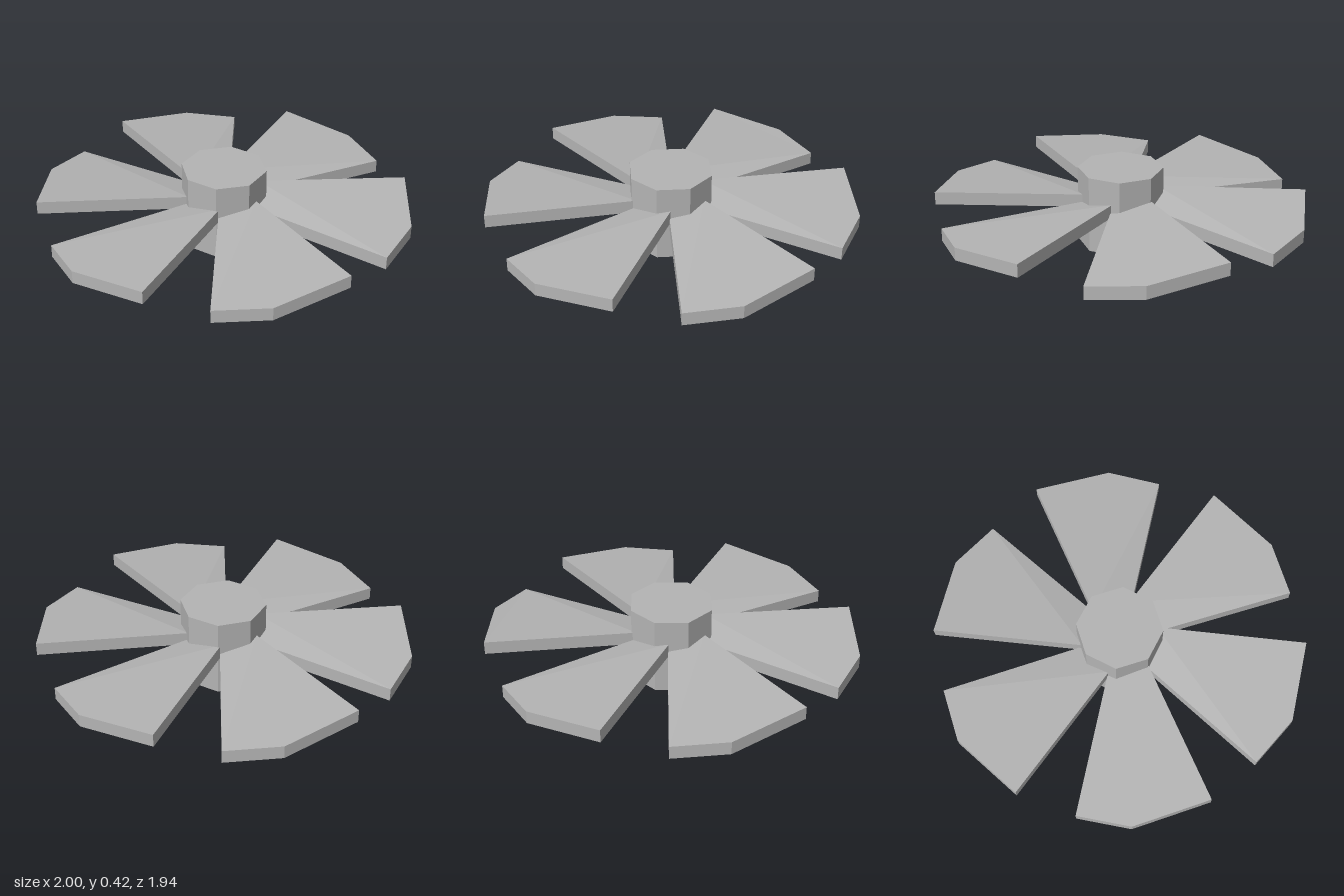
import * as THREE from 'three';

const THICKNESS = 0.07;

// Upper outline of one blade pointing along +x: high edge, pointed tip, low edge
const OUTLINE = [
  [0.17, 0.285, -0.115],
  [0.945, 0.28, -0.3],
  [1.0, 0.236, 0.12],
  [0.89, 0.212, 0.39],
  [0.17, 0.242, 0.092],
];

// Pitched slab with a slight twist, made from the outline and its lowered copy
function bladeGeometry() {
  const n = OUTLINE.length;
  const upper = OUTLINE;
  const lower = OUTLINE.map(([x, y, z]) => [x, y - THICKNESS, z]);
  const positions = [];
  const tri = (a, b, c) => positions.push(...a, ...b, ...c);

  // Broad faces: two triangles for the body, one for the tip
  for (const [i, j, k] of [[0, 4, 3], [0, 3, 1], [1, 3, 2]]) {
    tri(upper[i], upper[j], upper[k]);
    tri(lower[i], lower[k], lower[j]);
  }
  // Rim
  for (let i = 0; i < n; i++) {
    const j = (i + 1) % n;
    tri(upper[i], upper[j], lower[j]);
    tri(upper[i], lower[j], lower[i]);
  }

  const geometry = new THREE.BufferGeometry();
  geometry.setAttribute('position', new THREE.Float32BufferAttribute(positions, 3));
  geometry.computeVertexNormals();
  return geometry;
}

export function createModel() {
  const model = new THREE.Group();
  model.name = 'fanRotor';

  const metal = new THREE.MeshStandardMaterial({ color: 0xb4b4b4 });
  metal.name = 'grey metal';
  metal.flatShading = true;

  // Eight-sided hub
  const hubHeight = 0.417;
  const hub = new THREE.Mesh(new THREE.CylinderGeometry(0.228, 0.228, hubHeight, 8), metal);
  hub.name = 'hub';
  hub.position.y = hubHeight / 2;
  model.add(hub);

  // Six blades around the hub
  const geometry = bladeGeometry();
  for (let i = 0; i < 6; i++) {
    const blade = new THREE.Mesh(geometry, metal);
    blade.name = `blade${i + 1}`;
    blade.rotation.y = (i * Math.PI) / 3;
    model.add(blade);
  }

  return model;
}
